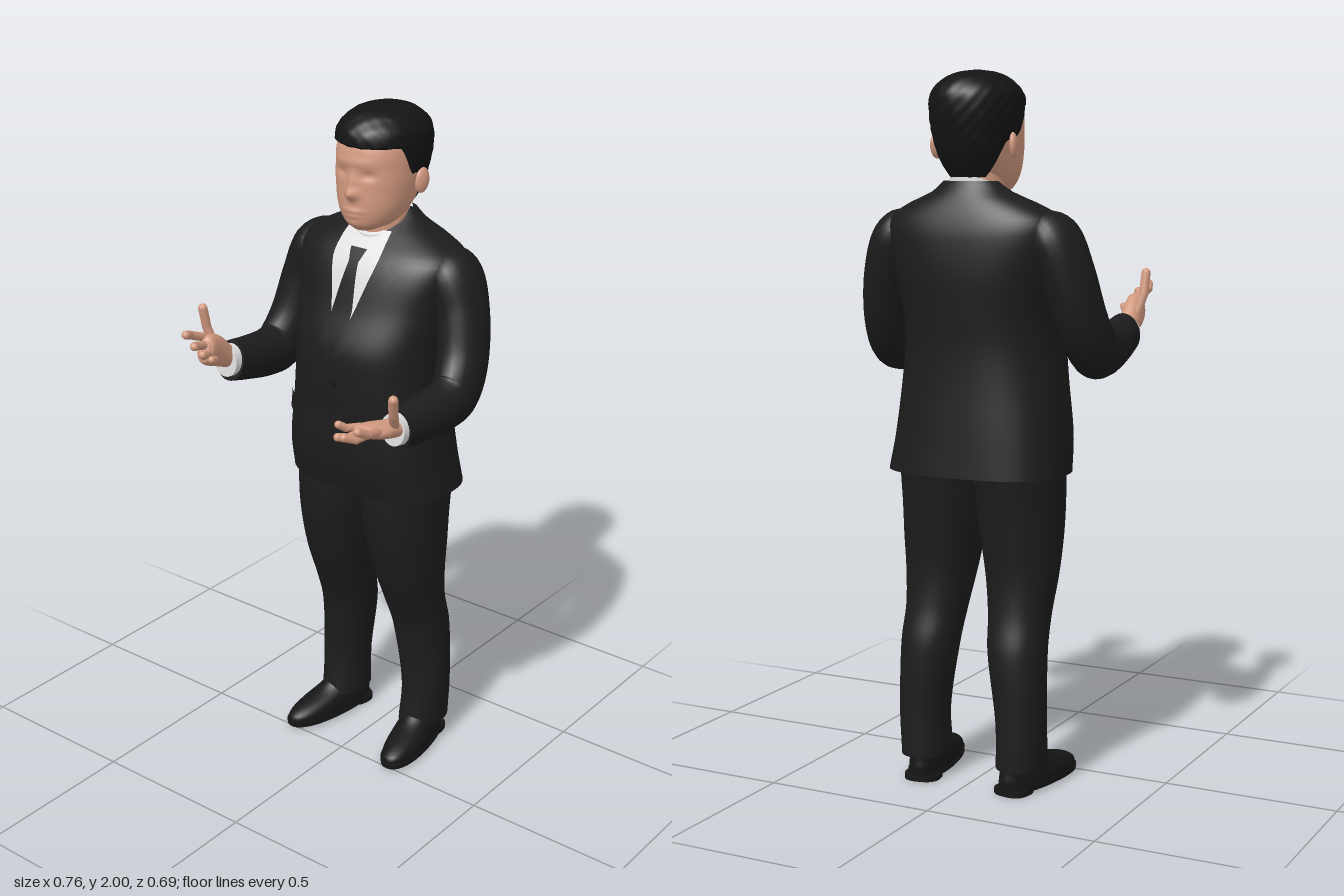
import * as THREE from 'three';
import { mergeGeometries } from 'three/addons/utils/BufferGeometryUtils.js';

const mat = (name, color, side = THREE.FrontSide) => {
  const m = new THREE.MeshStandardMaterial({ color, side });
  m.name = name;
  return m;
};
const V = (x, y, z) => new THREE.Vector3(x, y, z);
const { smoothstep, lerp } = THREE.MathUtils;

// Smooth interpolation of rows of numbers; column 0 is the parameter
function sample(keys, t) {
  let i = 0;
  while (i < keys.length - 2 && t > keys[i + 1][0]) i++;
  const a = keys[i], b = keys[i + 1], h = b[0] - a[0];
  const u = THREE.MathUtils.clamp((t - a[0]) / h, 0, 1);
  const p = keys[Math.max(i - 1, 0)], q = keys[Math.min(i + 2, keys.length - 1)];
  return a.map((v, c) => {
    const m0 = (b[c] - p[c]) / (b[0] - p[0]) * h, m1 = (q[c] - v) / (q[0] - a[0]) * h;
    return v * (2 * u ** 3 - 3 * u * u + 1) + m0 * (u ** 3 - 2 * u * u + u)
      + b[c] * (3 * u * u - 2 * u ** 3) + m1 * (u ** 3 - u * u);
  });
}

// Closed surface through a grid of rings, point(t, angle), with capped ends
function skin(point, rows, cols) {
  const pos = [], idx = [];
  const ring = (t) => {
    const start = pos.length / 3;
    for (let i = 0; i < cols; i++) pos.push(...point(t, i / cols * Math.PI * 2).toArray());
    return start;
  };
  for (let j = 0; j <= rows; j++) ring(j / rows);
  for (let j = 0; j < rows; j++) for (let i = 0; i < cols; i++) {
    const a = j * cols + i, b = j * cols + (i + 1) % cols;
    idx.push(a, a + cols, b, b, a + cols, b + cols);
  }
  for (const t of [0, 1]) {
    const s = ring(t), c = pos.length / 3, mid = V(0, 0, 0);
    for (let i = 0; i < cols; i++) mid.add(V(...pos.slice((s + i) * 3, (s + i) * 3 + 3)));
    pos.push(...mid.divideScalar(cols).toArray());
    for (let i = 0; i < cols; i++) {
      const n = s + (i + 1) % cols;
      idx.push(c, t ? n : s + i, t ? s + i : n);
    }
  }
  const g = new THREE.BufferGeometry();
  g.setAttribute('position', new THREE.Float32BufferAttribute(pos, 3));
  g.setIndex(idx);
  g.computeVertexNormals();
  return g;
}

// Horizontal section rows: [y, centreX, radiusX, zBack, zFront, roundness exponent]
function onSection(keys, y, a) {
  const [, cx, rx, zb, zf, n] = sample(keys, y);
  const f = (v) => Math.sign(v) * Math.abs(v) ** (2 / n);
  return V(cx + rx * f(Math.cos(a)), y, (zb + zf) / 2 + (zf - zb) / 2 * f(Math.sin(a)));
}
const loft = (keys, rows = 32, cols = 40) =>
  skin((t, a) => onSection(keys, lerp(keys[0][0], keys.at(-1)[0], t), a), rows, cols);

// Limb rows: [x, y, z, radius sideways, radius across]
function sweep(rows, steps) {
  const keys = rows.map((r, i) => [i, ...r]), end = rows.length - 1;
  return skin((t, a) => {
    const s = t * end, [, x, y, z, ra, rb] = sample(keys, s);
    const p = sample(keys, Math.max(s - 0.05, 0)), q = sample(keys, Math.min(s + 0.05, end));
    const d = V(q[1] - p[1], q[2] - p[2], q[3] - p[3]).normalize();
    const A = V(1, 0, 0).addScaledVector(d, -d.x).normalize();
    const B = A.clone().cross(d);
    return V(x, y, z).addScaledVector(A, ra * Math.cos(a)).addScaledVector(B, rb * Math.sin(a));
  }, steps, 24);
}

// Jointed finger made of capsules
function finger(points, r) {
  return points.slice(1).map((p, i) => {
    const a = V(...points[i]), b = V(...p), d = b.clone().sub(a);
    const g = new THREE.CapsuleGeometry(r, d.length(), 5, 10);
    g.deleteAttribute('uv');
    g.applyQuaternion(new THREE.Quaternion().setFromUnitVectors(V(0, 1, 0), d.normalize()));
    const m = a.add(b).multiplyScalar(0.5);
    return g.translate(m.x, m.y, m.z);
  });
}

const TORSO = [
  [0.895, 0.005, 0.26, -0.345, 0.005, 2.7], [1.0, 0, 0.25, -0.338, 0.03, 2.6],
  [1.15, 0, 0.235, -0.33, 0.036, 2.4], [1.25, 0, 0.228, -0.33, 0.04, 2.3],
  [1.34, 0, 0.23, -0.337, 0.033, 2.3], [1.45, 0, 0.245, -0.345, -0.012, 2.4],
  [1.55, 0, 0.262, -0.34, -0.05, 2.5], [1.6, 0, 0.255, -0.328, -0.08, 2.4],
  [1.64, 0, 0.19, -0.312, -0.12, 2.2], [1.67, 0, 0.12, -0.297, -0.15, 2],
  [1.7, 0, 0.08, -0.28, -0.185, 2],
];

// Thin cloth panel lying on the torso front; rows are [y, xA, xB]
function panel(rows, lift) {
  const g = new THREE.PlaneGeometry(1, 1, 10, 24), p = g.attributes.position;
  for (let i = 0; i < p.count; i++) {
    const v = 0.5 - p.getY(i), y = lerp(rows[0][0], rows.at(-1)[0], v);
    const k = rows.findIndex((r, j) => j && r[0] <= y + 1e-6), b = rows[k < 0 ? rows.length - 1 : k];
    const a = rows[rows.indexOf(b) - 1], u = (y - a[0]) / (b[0] - a[0]);
    const x = lerp(lerp(a[1], b[1], u), lerp(a[2], b[2], u), p.getX(i) + 0.5);
    const [, cx, rx, zb, zf, n] = sample(TORSO, y);
    const w = Math.max(0, 1 - Math.abs((x - cx) / rx) ** n) ** (1 / n);
    p.setXYZ(i, x, y, (zb + zf) / 2 + (zf - zb) / 2 * w + lift);
  }
  g.computeVertexNormals();
  return g;
}

// Head with sculpted bumps: [x, y, width, height, depth]
function headGeometry() {
  const g = loft([
    [1.662, 0, 0.03, -0.14, -0.075, 2], [1.68, 0, 0.068, -0.2, -0.058, 2],
    [1.72, 0, 0.096, -0.25, -0.05, 2.2], [1.78, 0, 0.111, -0.285, -0.05, 2.3],
    [1.84, 0, 0.115, -0.305, -0.05, 2.3], [1.9, 0, 0.113, -0.31, -0.055, 2.2],
    [1.95, 0, 0.095, -0.295, -0.09, 2], [1.985, 0, 0.04, -0.24, -0.15, 2],
  ], 60, 80);
  const bumps = [
    [0, 1.77, 0.017, 0.016, 0.022], [0, 1.8, 0.011, 0.03, 0.014], [0.045, 1.825, 0.022, 0.013, -0.008],
    [-0.045, 1.825, 0.022, 0.013, -0.008], [0, 1.858, 0.07, 0.014, 0.005], [0, 1.722, 0.03, 0.006, 0.007],
    [0, 1.707, 0.025, 0.006, 0.006], [0, 1.685, 0.03, 0.012, 0.004],
  ];
  const p = g.attributes.position;
  for (let i = 0; i < p.count; i++) if (p.getZ(i) > -0.15) {
    let z = p.getZ(i);
    for (const [x, y, w, h, d] of bumps)
      z += d * Math.exp(-(((p.getX(i) - x) / w) ** 2) - ((p.getY(i) - y) / h) ** 2);
    p.setZ(i, z);
  }
  g.computeVertexNormals();
  return g;
}

// Wavy hair with a hairline that drops from brow to nape
function hairGeometry() {
  const keys = [
    [1.7, 0, 0.06, -0.272, -0.15, 2], [1.76, 0, 0.097, -0.305, -0.1, 2.1],
    [1.84, 0, 0.119, -0.33, -0.06, 2.2], [1.9, 0, 0.123, -0.34, -0.045, 2.2],
    [1.94, 0, 0.118, -0.335, -0.05, 2.1], [1.975, 0, 0.088, -0.3, -0.085, 2],
    [1.993, 0, 0.048, -0.25, -0.13, 2], [1.999, 0, 0.006, -0.2, -0.18, 2],
  ];
  return skin((t, a) => {
    const s = Math.sin(a);
    const low = 1.71 + 0.1 * smoothstep(s, -0.6, -0.2) + 0.095 * smoothstep(s, 0.15, 0.45);
    const p = onSection(keys, lerp(low, 1.999, 1 - (1 - t) ** 1.6), a);
    const k = 1 + 0.012 * Math.sin(p.x * 130 + p.y * 60) * Math.sin(p.z * 120 - p.y * 90);
    return V(p.x * k, p.y, (p.z + 0.2) * k - 0.2);
  }, 36, 72);
}

export function createModel() {
  const suit = mat('suit black', 0x1c1c1c), cloth = mat('suit panel black', 0x1c1c1c, THREE.DoubleSide);
  const skinTone = mat('skin', 0xd39a80), hair = mat('hair black', 0x141414);
  const shirt = mat('shirt white', 0xdedede, THREE.DoubleSide);
  const tie = mat('tie black', 0x15161a, THREE.DoubleSide), leather = mat('shoe black', 0x161616);
  const model = new THREE.Group();
  const add = (name, geo, m, parent = model) => {
    const mesh = new THREE.Mesh(geo, m);
    mesh.name = name;
    parent.add(mesh);
    return mesh;
  };

  // Head and neck
  add('head', headGeometry(), skinTone);
  add('hair', hairGeometry(), hair);
  add('neck', loft([[1.58, 0, 0.075, -0.26, -0.125, 2], [1.73, 0, 0.075, -0.265, -0.115, 2]], 4), skinTone);

  // Jacket, shirt and tie
  add('jacket', loft(TORSO, 56, 64), suit);
  const collar = loft([[1.6, 0, 0.088, -0.28, -0.105, 2], [1.68, 0, 0.08, -0.276, -0.11, 2]], 4);
  const c = collar.attributes.position;
  for (let i = 0; i < c.count; i++) c.setY(i, c.getY(i) - (c.getZ(i) + 0.2) * 0.45);
  collar.computeVertexNormals();
  add('shirtCollar', collar, shirt);
  add('shirtFront', panel([[1.655, -0.08, 0.08], [1.58, -0.08, 0.08], [1.34, -0.01, 0.01]], 0.004), shirt);
  add('tie', panel([[1.61, -0.028, 0.028], [1.575, -0.016, 0.016], [1.45, -0.034, 0.034], [1.34, -0.03, 0.03]], 0.009), tie);
  add('frontOverlap', panel([[1.34, -0.03, 0.02], [1.2, -0.03, 0.022], [0.97, -0.03, 0.015], [0.9, -0.03, -0.02]], 0.005), cloth);
  const button = add('button', new THREE.CylinderGeometry(0.011, 0.011, 0.006, 16).rotateX(Math.PI / 2), tie);
  button.position.set(0.005, 1.24, 0.047);

  for (const s of [1, -1]) {
    const side = s > 0 ? 'left' : 'right';
    add(side + 'Lapel', panel([[1.67, s * 0.07, s * 0.09], [1.6, s * 0.08, s * 0.125], [1.57, s * 0.075, s * 0.12],
      [1.56, s * 0.073, s * 0.145], [1.45, s * 0.042, s * 0.105], [1.29, s * -0.005, s * 0.01]], 0.012), cloth);
    add(side + 'PocketFlap', panel([[1.155, s * 0.1, s * 0.2], [1.1, s * 0.105, s * 0.205]], 0.01), cloth);
    const ear = add(side + 'Ear', new THREE.SphereGeometry(1, 16, 12), skinTone);
    ear.scale.set(0.012, 0.036, 0.024);
    ear.position.set(s * 0.118, 1.795, -0.208);
    ear.rotation.set(-0.15, s * -0.3, 0);

    // Sleeve and cuff
    const wy = s > 0 ? 1.215 : 1.265;
    add(side + 'Sleeve', sweep([
      [s * 0.19, 1.59, -0.205, 0.04, 0.06], [s * 0.238, 1.55, -0.205, 0.068, 0.09],
      [s * 0.275, 1.45, -0.195, 0.072, 0.085], [s * 0.3, 1.33, -0.165, 0.07, 0.082],
      [s * 0.314, 1.25, -0.115, 0.065, 0.083], [s * 0.314, lerp(1.225, wy, 0.2), -0.05, 0.062, 0.073],
      [s * 0.307, lerp(1.22, wy, 0.6), 0.05, 0.056, 0.065], [s * 0.3, wy, 0.135, 0.048, 0.06],
    ], 48), suit);
    add(side + 'Cuff', sweep([[s * 0.301, wy, 0.11, 0.043, 0.05], [s * 0.299, wy + 0.004, 0.157, 0.041, 0.046]], 4), shirt);

    // Trouser leg
    const leg = [[0.07, 0.085, 0.218, -0.31, -0.135], [0.2, 0.085, 0.222, -0.31, -0.15], [0.4, 0.056, 0.22, -0.308, -0.135],
      [0.5, 0.045, 0.218, -0.287, -0.1], [0.6, 0.03, 0.226, -0.28, -0.062], [0.7, 0.014, 0.233, -0.288, -0.035],
      [0.8, 0, 0.235, -0.3, -0.016], [0.93, -0.005, 0.236, -0.32, -0.01]]
      .map(([y, a, b, zb, zf]) => [y, s * (a + b) / 2, (b - a) / 2, zb, zf, 2.2]);
    add(side + 'TrouserLeg', loft(leg, 40, 32), suit);

    // Shoe: upper, sole and heel, toes turned out
    const shoe = new THREE.Group();
    shoe.name = side + 'Shoe';
    shoe.position.set(s * 0.148, 0, -0.24);
    shoe.rotation.y = s * 0.17;
    model.add(shoe);
    add('shoeUpper', loft([[0.015, 0, 0.058, -0.065, 0.255, 2.3], [0.04, 0, 0.058, -0.068, 0.252, 2.2],
      [0.06, 0, 0.054, -0.066, 0.215, 2.1], [0.085, 0, 0.05, -0.064, 0.13, 2], [0.12, 0, 0.046, -0.06, 0.08, 2]], 16), leather, shoe);
    add('shoeSole', loft([[0.008, 0, 0.06, -0.068, 0.26, 2.3], [0.022, 0, 0.061, -0.069, 0.262, 2.3]], 2), leather, shoe);
    add('shoeHeel', loft([[0, 0, 0.052, -0.069, 0.03, 2.6], [0.015, 0, 0.052, -0.069, 0.03, 2.6]], 2), leather, shoe);
  }

  // Left hand, palm up
  add('leftHand', mergeGeometries([
    sweep([[0.3, 1.222, 0.13, 0.032, 0.026], [0.298, 1.228, 0.17, 0.036, 0.025], [0.29, 1.238, 0.22, 0.047, 0.022],
      [0.282, 1.245, 0.255, 0.044, 0.017], [0.28, 1.247, 0.27, 0.03, 0.008]], 20),
    ...finger([[0.318, 1.25, 0.25], [0.324, 1.262, 0.3], [0.318, 1.28, 0.335]], 0.0125),
    ...finger([[0.295, 1.242, 0.255], [0.288, 1.24, 0.305], [0.272, 1.252, 0.335]], 0.0125),
    ...finger([[0.27, 1.24, 0.25], [0.258, 1.235, 0.3], [0.248, 1.245, 0.33]], 0.012),
    ...finger([[0.25, 1.245, 0.24], [0.232, 1.248, 0.275], [0.222, 1.262, 0.295]], 0.011),
    ...finger([[0.318, 1.24, 0.175], [0.34, 1.29, 0.21], [0.355, 1.345, 0.232]], 0.0135),
  ]), skinTone);

  // Right hand, palm inward with the thumb raised
  add('rightHand', mergeGeometries([
    sweep([[-0.3, 1.272, 0.125, 0.028, 0.03], [-0.303, 1.29, 0.16, 0.03, 0.036], [-0.3, 1.318, 0.205, 0.03, 0.046],
      [-0.29, 1.335, 0.245, 0.026, 0.042], [-0.286, 1.34, 0.258, 0.014, 0.025]], 20),
    ...finger([[-0.308, 1.365, 0.235], [-0.312, 1.385, 0.285], [-0.3, 1.397, 0.315]], 0.0125),
    ...finger([[-0.292, 1.347, 0.245], [-0.285, 1.362, 0.295], [-0.265, 1.372, 0.32]], 0.0125),
    ...finger([[-0.28, 1.325, 0.245], [-0.265, 1.335, 0.285], [-0.248, 1.348, 0.306]], 0.012),
    ...finger([[-0.272, 1.305, 0.23], [-0.25, 1.315, 0.265], [-0.234, 1.33, 0.285]], 0.011),
    ...finger([[-0.318, 1.31, 0.175], [-0.336, 1.375, 0.19], [-0.338, 1.435, 0.202]], 0.0135),
  ]), skinTone);
  return model;
}
